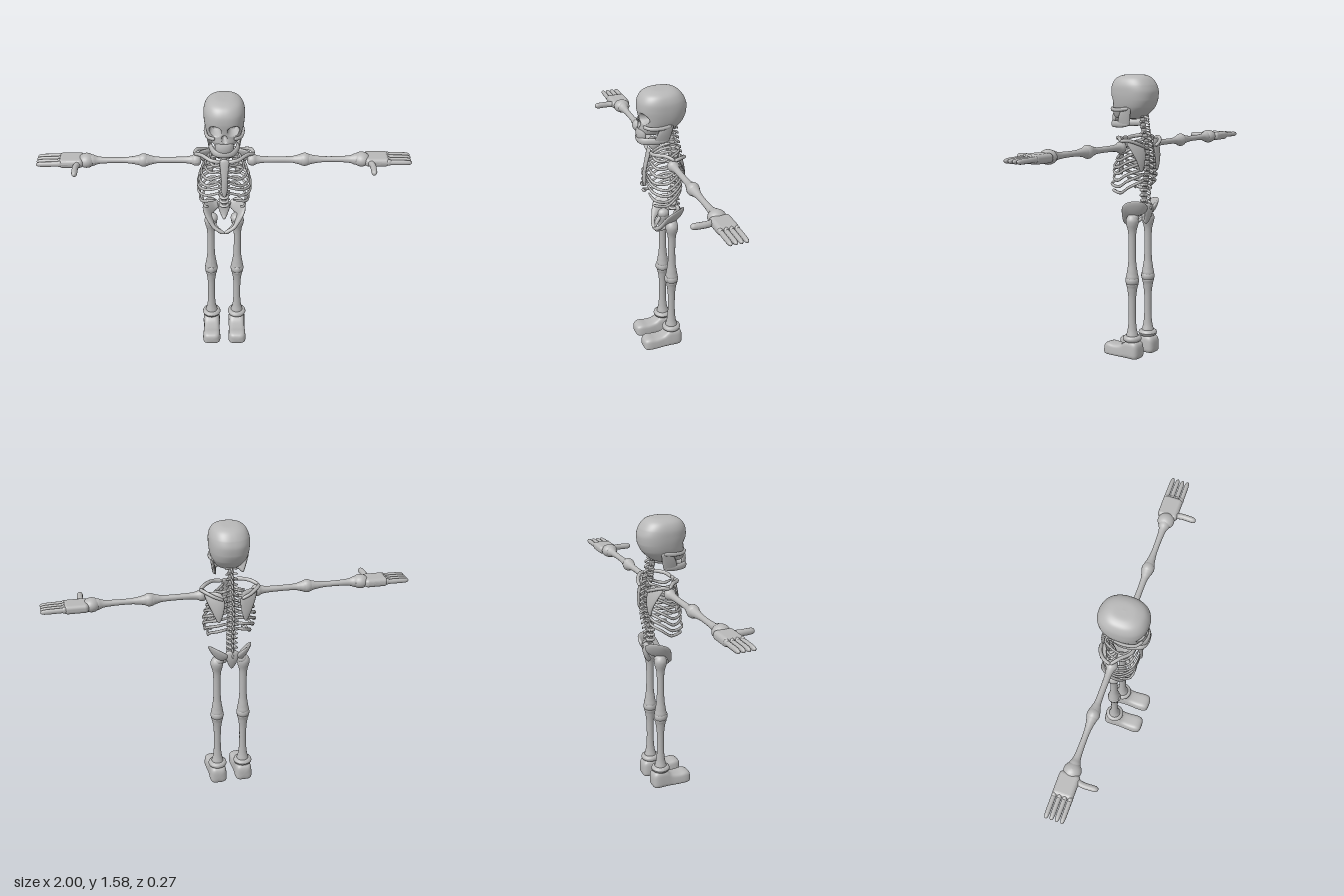
import * as THREE from 'three';
import { RoundedBoxGeometry } from 'three/addons/geometries/RoundedBoxGeometry.js';

const V = (p) => new THREE.Vector3(...p);
const spline = (pts) => new THREE.CatmullRomCurve3(pts.map(V));
const sp = (v, e) => Math.sign(v) * Math.abs(v) ** e;

// Closed surface from cross-sections f(s, angle) -> [x, y, z]
function loft(rows, cols, f) {
  const pos = [], idx = [];
  for (let i = 0; i <= rows; i++) {
    for (let j = 0; j < cols; j++) pos.push(...f(i / rows, (j / cols) * Math.PI * 2));
  }
  for (let i = 0; i < rows; i++) {
    for (let j = 0; j < cols; j++) {
      const a = i * cols + j, b = i * cols + ((j + 1) % cols);
      idx.push(a, b, a + cols, b, b + cols, a + cols);
    }
  }
  const g = new THREE.BufferGeometry();
  g.setAttribute('position', new THREE.Float32BufferAttribute(pos, 3));
  g.setIndex(idx);
  g.computeVertexNormals();
  return g;
}

// Flat bone spanning two edge curves, with rounded ends
function blade(a, b, thick, rows = 28, cols = 12) {
  const A = spline(a), B = spline(b);
  const mid = (s) => A.getPoint(s).add(B.getPoint(s)).multiplyScalar(0.5);
  return loft(rows, cols, (q, th) => {
    const s = (1 - Math.cos(q * Math.PI)) / 2;
    const k = Math.sqrt(Math.max(0, 1 - Math.abs(2 * s - 1) ** 12));
    const c = mid(s), u = A.getPoint(s).sub(c);
    const t = mid(Math.min(1, s + 0.01)).sub(mid(Math.max(0, s - 0.01)));
    const n = t.cross(u).normalize().multiplyScalar(thick);
    return c.addScaledVector(u, k * Math.cos(th)).addScaledVector(n, k * Math.sin(th)).toArray();
  });
}

// Rod along a path, of half height h and half thickness t
const rod = (pts, h, t = h, axis = 1, rows = 20, cols = 8) => {
  const off = (d) => pts.map((p) => p.map((v, i) => (i === axis ? v + d : v)));
  return blade(off(h), off(-h), t, rows, cols);
};

// Turned bone from [radius, height] points
function turned(pts, seg = 20) {
  const c = new THREE.SplineCurve(pts.map((p) => new THREE.Vector2(...p)));
  const prof = c.getPoints(pts.length * 5).map((p) => p.setX(Math.max(0, p.x)));
  return new THREE.LatheGeometry(prof, seg);
}

const ball = (x, y, z, rx, ry, rz) =>
  new THREE.SphereGeometry(1, 20, 14).scale(rx, ry, rz).translate(x, y, z);

function mirrored(geo) {
  const g = geo.clone().scale(-1, 1, 1);
  if (!g.index) g.setIndex([...Array(g.attributes.position.count).keys()]);
  const ix = g.index.array;
  for (let i = 0; i < ix.length; i += 3) [ix[i], ix[i + 1]] = [ix[i + 1], ix[i]];
  g.computeVertexNormals();
  return g;
}

export function createModel() {
  const root = new THREE.Group();
  root.name = 'skeleton';
  const bone = new THREE.MeshStandardMaterial({ color: 0xb8b8b8 });
  bone.name = 'bone grey';
  const add = (name, g) => {
    const m = new THREE.Mesh(g, bone);
    m.name = name;
    root.add(m);
  };
  const pair = (name, g) => {
    add(name + 'Left', g);
    add(name + 'Right', mirrored(g));
  };

  // Skull: half width, front z and back z by height, with eye and nose hollows
  const skull = [[0, 1.338, 0.03, 0.02], [0.06, 1.342, 0.112, -0.05], [0.078, 1.365, 0.12, -0.085],
    [0.095, 1.4, 0.117, -0.117], [0.104, 1.44, 0.121, -0.134], [0.107, 1.48, 0.126, -0.138],
    [0.104, 1.52, 0.121, -0.127], [0.088, 1.553, 0.1, -0.103], [0.055, 1.572, 0.06, -0.07], [0, 1.576, 0, -0.01]];
  const size = spline(skull.map((r) => r.slice(0, 3)));
  const back = spline(skull.map((r) => [r[3], 0, 0]));
  const hollow = (x, y, cx, cy, rx, ry) => {
    const d = Math.hypot((x - cx) / rx, (y - cy) / ry);
    return 1 - THREE.MathUtils.smoothstep(d, 0.6, 1.1);
  };
  add('skull', loft(90, 128, (s, th) => {
    const p = size.getPoint(s), zb = back.getPoint(s).x, zc = (p.z + zb) / 2;
    const x = Math.max(0, p.x) * sp(Math.sin(th), 0.85);
    let z = zc + (p.z - zc) * sp(Math.cos(th), 0.85);
    if (z > 0.02) {
      z -= 0.06 * hollow(Math.abs(x), p.y, 0.046, 1.435, 0.03, 0.028);
      z -= 0.035 * hollow(x, p.y, 0, 1.393, 0.013, 0.02);
    }
    return [x, p.y, z];
  }));
  pair('cheekbone', rod([[0.05, 1.392, 0.112], [0.083, 1.388, 0.085], [0.098, 1.388, 0.03], [0.096, 1.395, -0.03]], 0.011, 0.008));
  // Jaw: upright rear branch turning into the chin
  pair('jawBranch', blade(
    [[0.093, 1.4, -0.045], [0.085, 1.35, -0.035], [0.074, 1.296, -0.022]],
    [[0.09, 1.4, 0.015], [0.083, 1.35, 0.045], [0.07, 1.296, 0.06]], 0.009));
  add('jaw', rod([[-0.078, 1.311, -0.018], [-0.068, 1.308, 0.06], [-0.045, 1.307, 0.11], [0, 1.307, 0.124],
    [0.045, 1.307, 0.11], [0.068, 1.308, 0.06], [0.078, 1.311, -0.018]], 0.019, 0.011, 1, 44, 12));
  add('teeth', rod([[-0.046, 1.338, 0.095], [-0.028, 1.338, 0.118], [0, 1.338, 0.125], [0.028, 1.338, 0.118], [0.046, 1.338, 0.095]], 0.03, 0.009));

  // Spine: vertebrae with rear and side processes
  const spine = spline([[0, 1.35, -0.055], [0, 1.28, -0.065], [0, 1.18, -0.085], [0, 1.05, -0.087], [0, 0.94, -0.068], [0, 0.86, -0.075]]);
  add('spineCore', new THREE.TubeGeometry(spine, 40, 0.015, 10));
  for (let i = 0; i < 18; i++) {
    const { y, z } = spine.getPointAt(i / 17), r = 0.017 + i * 0.0005;
    add('vertebra', ball(0, y, z, r * 1.15, 0.011, r));
    add('rearProcess', rod([[0, y, z - 0.01], [0, y - 0.004, z - 0.03], [0, y - 0.014, z - 0.045]], 0.008, 0.006, 1, 8));
    add('sideProcess', rod([[-0.033, y, z - 0.02], [0, y, z - 0.008], [0.033, y, z - 0.02]], 0.006, 0.006, 1, 10));
  }
  add('sacrum', blade([[0.042, 0.875, -0.095], [0.034, 0.83, -0.1], [0.016, 0.78, -0.085], [0.006, 0.765, -0.07]],
    [[-0.042, 0.875, -0.095], [-0.034, 0.83, -0.1], [-0.016, 0.78, -0.085], [-0.006, 0.765, -0.07]], 0.014));

  // Rib cage
  add('sternum', blade([[0.03, 1.24, 0.06], [0.024, 1.2, 0.072], [0.017, 1.12, 0.088], [0.015, 1.05, 0.09], [0.006, 1.02, 0.088]],
    [[-0.03, 1.24, 0.06], [-0.024, 1.2, 0.072], [-0.017, 1.12, 0.088], [-0.015, 1.05, 0.09], [-0.006, 1.02, 0.088]], 0.009));
  [0.075, 0.1, 0.12, 0.132, 0.14, 0.14, 0.132, 0.115].forEach((w, i) => {
    const y = 1.235 - 0.033 * i, low = 1.19 - 0.036 * i, front = 0.055 + Math.min(i, 3) * 0.01;
    const end = i < 6 ? [0.012, 1.212 - 0.032 * i, front + 0.004] : [i === 6 ? 0.045 : 0.085, i === 6 ? 1.0 : 0.94, i === 6 ? 0.083 : 0.055];
    pair('rib', rod([[0.012, y, -0.08], [w * 0.62, y - 0.005, -0.092], [w * 0.97, (y + low) / 2, -0.045],
      [w, low, 0.005], [w * (i < 6 ? 0.7 : 0.88), low - 0.003 + (i > 3 ? 0.012 : 0), front - 0.018], end], 0.009, 0.006, 1, 32));
  });
  pair('collarbone', rod([[0.02, 1.225, 0.064], [0.07, 1.232, 0.058], [0.12, 1.238, 0.012], [0.16, 1.226, -0.025]], 0.011, 0.01));
  pair('shoulderBlade', blade([[0.15, 1.222, -0.05], [0.132, 1.17, -0.078], [0.105, 1.11, -0.098], [0.08, 1.055, -0.1]],
    [[0.055, 1.228, -0.085], [0.043, 1.17, -0.106], [0.05, 1.11, -0.11], [0.066, 1.055, -0.105]], 0.009));
  pair('shoulderRidge', rod([[0.05, 1.19, -0.11], [0.1, 1.21, -0.1], [0.145, 1.228, -0.065], [0.16, 1.225, -0.025]], 0.01));

  // Pelvis: flaring wings that meet at the front
  pair('hipWing', blade(
    [[0.03, 0.868, -0.118], [0.08, 0.893, -0.108], [0.114, 0.893, -0.055], [0.114, 0.865, -0.005], [0.068, 0.79, 0.028], [-0.003, 0.752, 0.046]],
    [[0.025, 0.83, -0.1], [0.05, 0.815, -0.085], [0.068, 0.805, -0.05], [0.062, 0.795, -0.01], [0.042, 0.762, 0.018], [-0.003, 0.735, 0.03]], 0.011, 40));
  pair('seatBone', rod([[0.068, 0.815, -0.05], [0.062, 0.785, -0.025], [0.04, 0.757, 0.008], [0.01, 0.744, 0.034]], 0.012));

  // Arms, turned along x
  const arm = (pts) => turned(pts).rotateZ(-Math.PI / 2).translate(0, 1.19, -0.02);
  pair('upperArm', arm([[0, 0.425], [0.03, 0.42], [0.024, 0.39], [0.017, 0.35], [0.017, 0.23], [0.022, 0.18], [0.032, 0.155], [0.026, 0.13], [0, 0.122]].reverse()));
  pair('elbow', ball(0.43, 1.19, -0.02, 0.038, 0.036, 0.034));
  pair('forearm', arm([[0, 0.425], [0.028, 0.44], [0.022, 0.48], [0.016, 0.53], [0.016, 0.61], [0.02, 0.67], [0.03, 0.7], [0.03, 0.73], [0, 0.74]]));
  pair('wrist', ball(0.735, 1.19, -0.02, 0.045, 0.038, 0.046));
  pair('palm', new RoundedBoxGeometry(0.13, 0.048, 0.108, 3, 0.02).translate(0.815, 1.19, -0.022));
  for (let i = 0; i < 4; i++) {
    const z = -0.062 + i * 0.0275;
    pair('finger', rod([[0.75, 1.192, z * 0.9], [0.86, 1.192, z], [1, 1.19, z]], 0.014, 0.0125, 1, 24, 10));
    pair('knuckle', ball(0.875, 1.192, z, 0.018, 0.018, 0.0135));
  }
  pair('thumb', rod([[0.765, 1.19, 0.0], [0.785, 1.19, 0.04], [0.785, 1.19, 0.133]], 0.017, 0.016, 1, 20, 12));

  // Legs
  const leg = (pts) => turned(pts).translate(0.075, 0, -0.042);
  pair('thigh', leg([[0, 0.44], [0.033, 0.455], [0.03, 0.49], [0.022, 0.55], [0.02, 0.65], [0.023, 0.72], [0.034, 0.765], [0.034, 0.79], [0.02, 0.812], [0, 0.816]]));
  pair('hipBall', ball(0.066, 0.797, -0.042, 0.03, 0.028, 0.034));
  pair('knee', ball(0.075, 0.445, -0.042, 0.038, 0.036, 0.038));
  pair('kneecap', ball(0.075, 0.447, -0.014, 0.02, 0.024, 0.014));
  pair('shin', leg([[0, 0.08], [0.036, 0.09], [0.035, 0.125], [0.025, 0.17], [0.02, 0.24], [0.021, 0.34], [0.028, 0.4], [0.033, 0.43], [0, 0.45]]));
  pair('ankleRing', new THREE.TorusGeometry(0.036, 0.017, 10, 28).rotateX(Math.PI / 2).translate(0.075, 0.114, -0.042));
  // Feet: half width and height along the length
  const foot = spline([[0.04, 0.09, -0.1], [0.048, 0.102, -0.07], [0.047, 0.1, -0.02], [0.046, 0.075, 0.015], [0.049, 0.068, 0.06], [0.05, 0.072, 0.1], [0.044, 0.066, 0.136]]);
  pair('foot', loft(40, 36, (q, th) => {
    const s = (1 - Math.cos(q * Math.PI)) / 2, p = foot.getPoint(s);
    const k = Math.max(0, 1 - Math.abs(2 * s - 1) ** 14) ** 0.4;
    const up = sp(Math.sin(th), 0.5), h = p.y / 2;
    return [0.075 + k * p.x * sp(Math.cos(th), 0.5) * (1 - 0.08 * up), h + k * h * up, p.z];
  }));
  return root;
}
